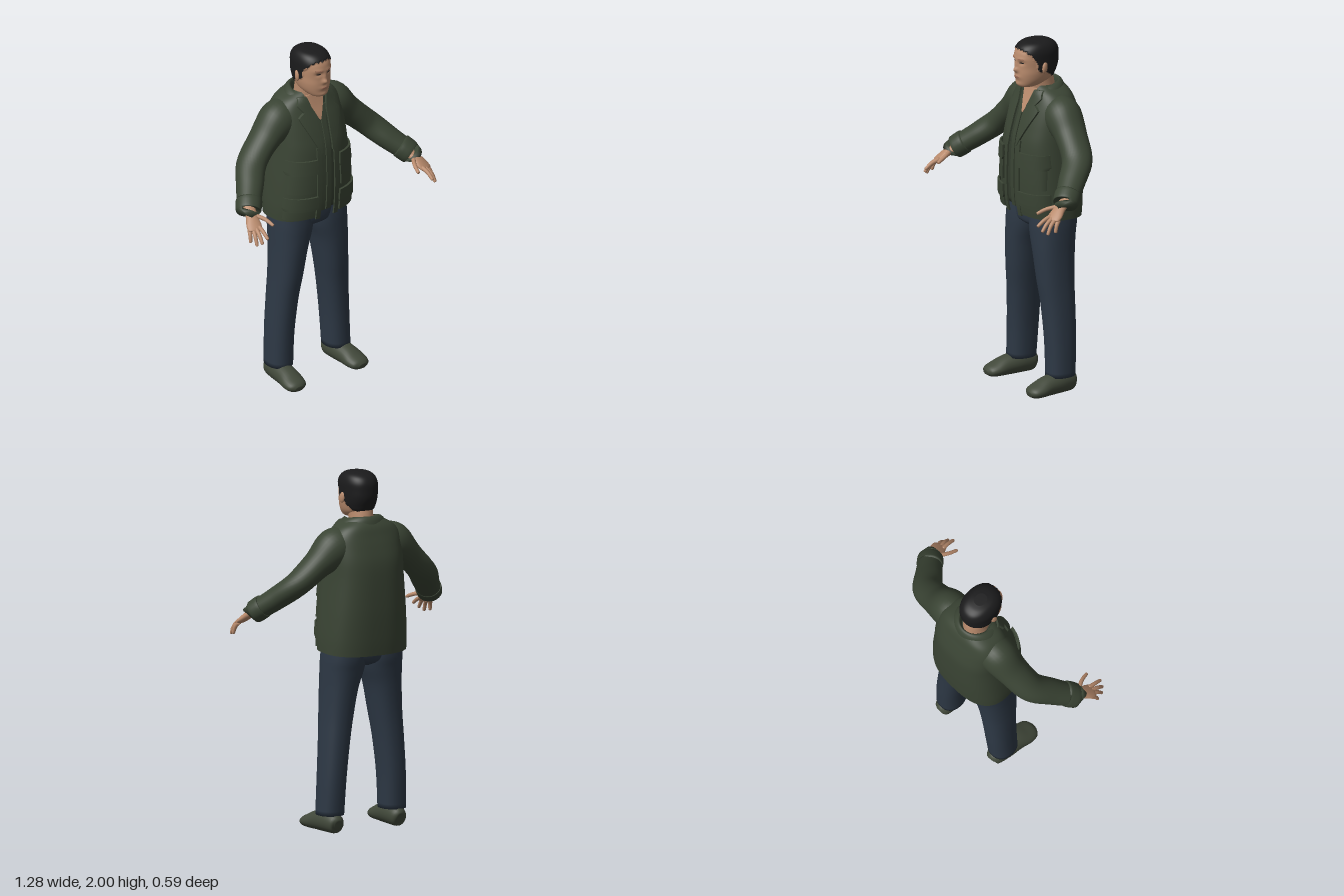
import * as THREE from 'three';
import { toCreasedNormals } from 'three/addons/utils/BufferGeometryUtils.js';

const paint = (name, color, side = THREE.FrontSide) => {
  const m = new THREE.MeshStandardMaterial({ color, side });
  m.name = name;
  return m;
};

// Linear lookup in rows sorted by their first column
function at(rows, key) {
  let i = 0;
  while (i < rows.length - 2 && key > rows[i + 1][0]) i++;
  const k = THREE.MathUtils.clamp((key - rows[i][0]) / (rows[i + 1][0] - rows[i][0]), 0, 1);
  return rows[i].map((v, c) => v + (rows[i + 1][c] - v) * k);
}

// Smooth (Catmull-Rom) resampling of rows
function smooth(rows, count) {
  const get = (j) => rows[THREE.MathUtils.clamp(j, 0, rows.length - 1)];
  return Array.from({ length: count + 1 }, (_, s) => {
    const f = (s / count) * (rows.length - 1), i = Math.min(Math.floor(f), rows.length - 2), k = f - i;
    return rows[i].map((b, c) => {
      const a = get(i - 1)[c], d = get(i + 1)[c], e = get(i + 2)[c];
      return b + 0.5 * k * (d - a + k * (2 * a - 5 * b + 4 * d - e + k * (3 * (b - d) + e - a)));
    });
  });
}

// Skin a list of rings; wrapped rings are closed and capped
function loft(rings, wrap = true) {
  const n = rings[0].length, pos = rings.flat().flatMap((p) => [p.x, p.y, p.z]), index = [];
  for (let i = 0; i < rings.length - 1; i++)
    for (let j = 0; j < (wrap ? n : n - 1); j++) {
      const a = i * n + j, b = i * n + ((j + 1) % n);
      index.push(a, b, b + n, a, b + n, a + n);
    }
  if (wrap) [0, rings.length - 1].forEach((r, top) => {
    const c = rings[r].reduce((s, p) => s.add(p), new THREE.Vector3()).divideScalar(n);
    const id = pos.push(c.x, c.y, c.z) / 3 - 1;
    for (let j = 0; j < n; j++) {
      const a = r * n + j, b = r * n + ((j + 1) % n);
      top ? index.push(id, a, b) : index.push(id, b, a);
    }
  });
  const g = new THREE.BufferGeometry();
  g.setAttribute('position', new THREE.Float32BufferAttribute(pos, 3));
  g.setIndex(index);
  g.computeVertexNormals();
  return g;
}

// Level superellipse ring from a row [y, centre x, half width, back z, front z]
function ring([y, xc, hw, zb, zf], sides, n = 2, gap = 0, tilt = 0) {
  const t0 = Math.asin(Math.pow(gap / hw, n / 2)), count = gap ? sides + 1 : sides;
  const pw = (v) => Math.sign(v) * Math.pow(Math.abs(v), 2 / n);
  return Array.from({ length: count }, (_, j) => {
    const t = t0 + (j / sides) * (2 * Math.PI - 2 * t0);
    return new THREE.Vector3(xc + hw * pw(Math.sin(t)), y + tilt * Math.cos(t),
      (zb + zf) / 2 + ((zf - zb) / 2) * pw(Math.cos(t)));
  });
}
const column = (rows, count, sides, n) => loft(smooth(rows, count).map((r) => ring(r, sides, n)));

// Tube through points [x, y, z, level radius, other radius]
function limb(points, count, sides) {
  const rows = smooth(points, count), v = (r) => new THREE.Vector3(r[0], r[1], r[2]);
  return loft(rows.map((r, i) => {
    const T = v(rows[Math.min(i + 1, count)]).sub(v(rows[Math.max(i - 1, 0)])).normalize();
    const U = new THREE.Vector3(0, 1, 0).cross(T).normalize(), W = U.clone().cross(T);
    return Array.from({ length: sides }, (_, j) => {
      const t = (j / sides) * 2 * Math.PI;
      return v(r).addScaledVector(U, r[3] * Math.sin(t)).addScaledVector(W, r[4] * Math.cos(t));
    });
  }));
}

// Thin plate of rows [y, x0, x1] laid on a front surface z = surf(x, y)
function plate(rows, thick, lift, surf) {
  const g = new THREE.BoxGeometry(1, 1, 1, 10, 24, 1), p = g.attributes.position;
  const y0 = rows[0][0], y1 = rows[rows.length - 1][0];
  for (let i = 0; i < p.count; i++) {
    const y = y0 + (y1 - y0) * (p.getY(i) + 0.5), [, a, b] = at(rows, y);
    const x = a + (b - a) * (p.getX(i) + 0.5);
    p.setXYZ(i, x, y, surf(x, y) + lift + p.getZ(i) * thick);
  }
  return toCreasedNormals(g, 0.7);
}

function mirrored(geo) {
  const g = geo.clone().scale(-1, 1, 1);
  const id = g.index ? Array.from(g.index.array) : Array.from({ length: g.attributes.position.count }, (_, i) => i);
  for (let i = 0; i < id.length; i += 3) [id[i + 1], id[i + 2]] = [id[i + 2], id[i + 1]];
  g.setIndex(id);
  return g;
}

export function createModel() {
  const model = new THREE.Group();
  const jacket = paint('jacket green', 0x3a4434, THREE.DoubleSide), lining = paint('inner green', 0x343d2f);
  const denim = paint('trouser blue', 0x2d3845), skin = paint('skin', 0xb88a6c);
  const hair = paint('hair black', 0x1b1b1c), shoe = paint('shoe green', 0x41483a), lip = paint('lip', 0x9c6c57);
  const add = (name, geo, mat) => {
    const m = new THREE.Mesh(geo, mat);
    m.name = name;
    model.add(m);
  };
  const both = (name, geo, mat) => {
    add('left' + name, geo, mat);
    add('right' + name, mirrored(geo), mat);
  };

  // Jacket body, open down the front
  const N = 2.6;
  const torso = smooth([
    [1.01, 0, 0.25, -0.278, 0.075], [1.1, 0, 0.25, -0.287, 0.088], [1.25, 0, 0.24, -0.295, 0.093],
    [1.42, 0, 0.225, -0.295, 0.085], [1.52, 0, 0.22, -0.288, 0.062], [1.6, 0, 0.215, -0.268, 0.035],
    [1.66, 0, 0.205, -0.248, 0.01], [1.705, 0, 0.17, -0.232, -0.006], [1.735, 0, 0.12, -0.212, -0.015],
    [1.75, 0, 0.088, -0.195, -0.02]], 45);
  const gaps = [[1, 0.05], [1.5, 0.045], [1.62, 0.04], [1.72, 0.068], [1.76, 0.075]];
  add('jacketBody', loft(torso.map((r) =>
    ring(r, 64, N, at(gaps, r[0])[1], 0.012 * Math.max(0, 1 - (r[0] - 1.01) / 0.15))), false), jacket);
  const chestZ = (x, y) => {
    const [, , hw, zb, zf] = at(torso, y), k = Math.min(Math.abs(x) / hw, 0.975);
    return (zb + zf) / 2 + ((zf - zb) / 2) * Math.pow(1 - Math.pow(k, N), 1 / N);
  };

  // Inner layer, zip plackets and bare throat
  const inner = torso.filter((r) => r[0] > 1.045 && r[0] < 1.7)
    .map(([y, x, hw, zb, zf]) => [y, x, hw - 0.02, zb + 0.02, zf - 0.02]);
  add('innerVest', loft(inner.map((r) => ring(r, 48, N))), lining);
  both('Placket', plate([[1.05, 0.004, 0.036], [1.58, 0.004, 0.034], [1.66, 0.035, 0.06]], 0.009, -0.015, chestZ), jacket);
  add('throat', plate([[1.59, -0.004, 0.004], [1.66, -0.037, 0.037], [1.73, -0.062, 0.062]], 0.008, -0.013, chestZ), skin);

  // Lapels, front edges and pockets
  both('Lapel', plate([[1.42, 0.034, 0.046], [1.53, 0.036, 0.098], [1.6, 0.04, 0.13], [1.635, 0.042, 0.142],
    [1.647, 0.044, 0.1], [1.69, 0.056, 0.13], [1.73, 0.066, 0.11]], 0.012, 0.006, chestZ), jacket);
  both('FrontEdge', plate([[1.015, 0.047, 0.075], [1.45, 0.043, 0.07]], 0.01, 0.004, chestZ), jacket);
  both('ChestPocket', plate([[1.19, 0.09, 0.222], [1.35, 0.085, 0.215]], 0.016, 0.004, chestZ), jacket);
  both('ChestFlap', plate([[1.305, 0.085, 0.222], [1.32, 0.076, 0.226], [1.39, 0.078, 0.218]], 0.014, 0.015, chestZ), jacket);
  both('HipPocket', plate([[1.03, 0.085, 0.236], [1.13, 0.085, 0.234]], 0.016, 0.004, chestZ), jacket);
  both('HipFlap', plate([[1.085, 0.08, 0.236], [1.1, 0.072, 0.24], [1.165, 0.074, 0.236]], 0.014, 0.015, chestZ), jacket);

  // Turned-down collar, high at the nape and low in front
  const collar = [[1.715, 0.076, 0.085], [1.752, 0.083, 0.093], [1.765, 0.098, 0.103], [1.745, 0.128, 0.12], [1.7, 0.15, 0.132]];
  add('collar', loft(smooth(collar, 14).map(([y, rx, rz]) => Array.from({ length: 41 }, (_, j) => {
    const t = Math.PI + (0.5 - j / 40) * 2 * 2.35, drop = Math.pow((1 + Math.cos(t)) / 2, 1.5);
    return new THREE.Vector3(rx * Math.sin(t), y - 0.045 * drop, -0.095 + rz * Math.cos(t));
  })), false), jacket);

  // Sleeves and cuffs
  both('Sleeve', limb([[0.12, 1.605, -0.115, 0.1, 0.1], [0.19, 1.585, -0.115, 0.108, 0.114], [0.29, 1.507, -0.105, 0.092, 0.08],
    [0.4, 1.405, -0.075, 0.085, 0.07], [0.48, 1.32, 0.01, 0.076, 0.064], [0.555, 1.245, 0.095, 0.064, 0.058]], 36, 32), jacket);
  both('Cuff', limb([[0.528, 1.274, 0.064, 0.064, 0.058], [0.531, 1.271, 0.068, 0.073, 0.066],
    [0.563, 1.237, 0.104, 0.071, 0.064], [0.566, 1.234, 0.108, 0.06, 0.054]], 9, 32), jacket);

  // Hands
  both('Palm', limb([[0.548, 1.25, 0.085, 0.034, 0.027], [0.572, 1.216, 0.145, 0.034, 0.022],
    [0.588, 1.185, 0.185, 0.043, 0.018], [0.6, 1.166, 0.212, 0.036, 0.011], [0.602, 1.163, 0.216, 0.02, 0.004]], 14, 20), skin);
  const fingers = {
    Index: [[0.57, 1.18, 0.205], [0.574, 1.166, 0.25], [0.575, 1.14, 0.29]],
    Middle: [[0.588, 1.174, 0.205], [0.598, 1.152, 0.247], [0.602, 1.115, 0.278]],
    Ring: [[0.604, 1.168, 0.198], [0.615, 1.142, 0.232], [0.621, 1.1, 0.255]],
    Little: [[0.618, 1.168, 0.184], [0.628, 1.142, 0.203], [0.633, 1.108, 0.213]],
    Thumb: [[0.554, 1.222, 0.145], [0.522, 1.208, 0.2], [0.508, 1.188, 0.25]],
  };
  for (const [name, [a, b, c]] of Object.entries(fingers)) {
    const tip = c.map((v, i) => v + (c[i] - b[i]) * 0.08);
    both(name + 'Finger', limb([[...a, 0.013, 0.013], [...b, 0.011, 0.011], [...c, 0.009, 0.009], [...tip, 0.003, 0.003]], 12, 12), skin);
  }

  // Trousers
  both('TrouserLeg', column([[0.1, 0.2, 0.074, -0.175, -0.01], [0.3, 0.191, 0.075, -0.186, -0.008], [0.5, 0.174, 0.08, -0.19, 0.003],
    [0.65, 0.157, 0.087, -0.194, 0.02], [0.8, 0.14, 0.098, -0.205, 0.031], [0.9, 0.123, 0.114, -0.217, 0.034],
    [0.97, 0.116, 0.12, -0.228, 0.033], [1.06, 0.11, 0.12, -0.23, 0.025]], 36, 36, 2.3), denim);
  add('trouserSeat', column([[0.925, 0, 0.05, -0.16, -0.04], [0.945, 0, 0.13, -0.2, 0.01], [0.98, 0, 0.2, -0.22, 0.028],
    [1.08, 0, 0.215, -0.23, 0.03]], 14, 40, 2.4), denim);

  // Shoes with flat soles
  const foot = limb([[0.2, 0.05, -0.182, 0.02, 0.025], [0.2, 0.054, -0.165, 0.046, 0.052], [0.205, 0.062, -0.09, 0.06, 0.062],
    [0.211, 0.055, -0.005, 0.062, 0.056], [0.217, 0.042, 0.06, 0.067, 0.042], [0.221, 0.034, 0.105, 0.055, 0.03],
    [0.222, 0.03, 0.125, 0.025, 0.014]], 30, 28);
  const fp = foot.attributes.position;
  for (let i = 0; i < fp.count; i++) fp.setY(i, Math.max(fp.getY(i), 0.012 * Math.max(0, Math.abs(fp.getZ(i) + 0.04) - 0.1) / 0.06));
  foot.computeVertexNormals();
  both('Shoe', foot, shoe);

  // Neck and head, with sculpted face and hair as a second material
  add('neck', column([[1.62, 0, 0.085, -0.19, -0.025], [1.7, 0, 0.07, -0.175, -0.025], [1.76, 0, 0.066, -0.168, -0.015],
    [1.82, 0, 0.068, -0.15, -0.01]], 12, 32, 2), skin);
  const skull = smooth([[1.738, 0, 0.03, -0.05, 0.035], [1.75, 0, 0.054, -0.085, 0.054], [1.78, 0, 0.077, -0.145, 0.06],
    [1.82, 0, 0.088, -0.168, 0.064], [1.86, 0, 0.091, -0.182, 0.063], [1.9, 0, 0.092, -0.185, 0.067],
    [1.94, 0, 0.091, -0.183, 0.06], [1.97, 0, 0.08, -0.166, 0.04], [1.988, 0, 0.06, -0.135, 0.01], [1.995, 0, 0.03, -0.1, -0.03]], 60);
  const bump = (x, y, cx, cy, sx, sy) => Math.exp(-(((x - cx) / sx) ** 2) - ((y - cy) / sy) ** 2);
  const relief = (x, y) => {
    const a = Math.abs(x);
    return 0.02 * bump(x, y, 0, 1.842, 0.015, 0.014) + 0.011 * bump(x, y, 0, 1.868, 0.011, 0.022)
      - 0.009 * bump(a, y, 0.034, 1.886, 0.018, 0.012) + 0.004 * bump(a, y, 0.035, 1.908, 0.03, 0.009)
      + 0.007 * bump(x, y, 0, 1.802, 0.028, 0.012) + 0.005 * bump(x, y, 0, 1.76, 0.025, 0.012);
  };
  const faceZ = (x, y) => {
    const [, , hw, zb, zf] = at(skull, y);
    return (zb + zf) / 2 + ((zf - zb) / 2) * Math.pow(1 - Math.pow(Math.abs(x) / hw, 2.2), 1 / 2.2) + relief(x, y);
  };
  const hairline = [[-0.2, 1.775], [-0.13, 1.785], [-0.085, 1.82], [-0.06, 1.86], [-0.045, 1.835], [-0.025, 1.845],
    [-0.012, 1.9], [0.015, 1.93], [0.045, 1.957], [0.09, 1.965]];
  const head = loft(skull.map((r) => ring(r, 88, 2.2))), hp = head.attributes.position;
  const hairy = (x, y, z) => y > at(hairline, z)[1] + 0.004 * Math.sin(x * 260);
  for (let i = 0; i < hp.count; i++) {
    const x = hp.getX(i), y = hp.getY(i), z = hp.getZ(i);
    if (hairy(x, y, z)) hp.setXYZ(i, x * 1.06, y + 0.005 * Math.max(0, (y - 1.9) / 0.1), -0.06 + (z + 0.06) * 1.05);
    else if (z > 0) hp.setZ(i, z + relief(x, y));
  }
  const bare = [], covered = [], ix = head.index.array;
  for (let i = 0; i < ix.length; i += 3) {
    const f = [ix[i], ix[i + 1], ix[i + 2]], mid = (c) => f.reduce((s, k) => s + hp.getComponent(k, c), 0) / 3;
    (hairy(mid(0), mid(1), mid(2)) ? covered : bare).push(...f);
  }
  head.setIndex([...bare, ...covered]);
  head.addGroup(0, bare.length, 0);
  head.addGroup(bare.length, covered.length, 1);
  head.computeVertexNormals();
  add('head', head, [skin, hair]);

  // Ears and painted face details
  both('Ear', new THREE.SphereGeometry(1, 16, 12).scale(0.011, 0.032, 0.019).rotateX(-0.2).rotateY(0.3).translate(0.097, 1.858, -0.058), skin);
  both('Eye', plate([[1.883, 0.026, 0.042], [1.886, 0.021, 0.047], [1.889, 0.026, 0.043]], 0.003, 0.001, faceZ), hair);
  both('Brow', plate([[1.906, 0.018, 0.052], [1.911, 0.02, 0.055]], 0.002, 0.001, faceZ), lip);
  add('mouth', plate([[1.796, -0.014, 0.014], [1.802, -0.025, 0.025], [1.807, -0.012, 0.012]], 0.003, 0.001, faceZ), lip);
  return model;
}
